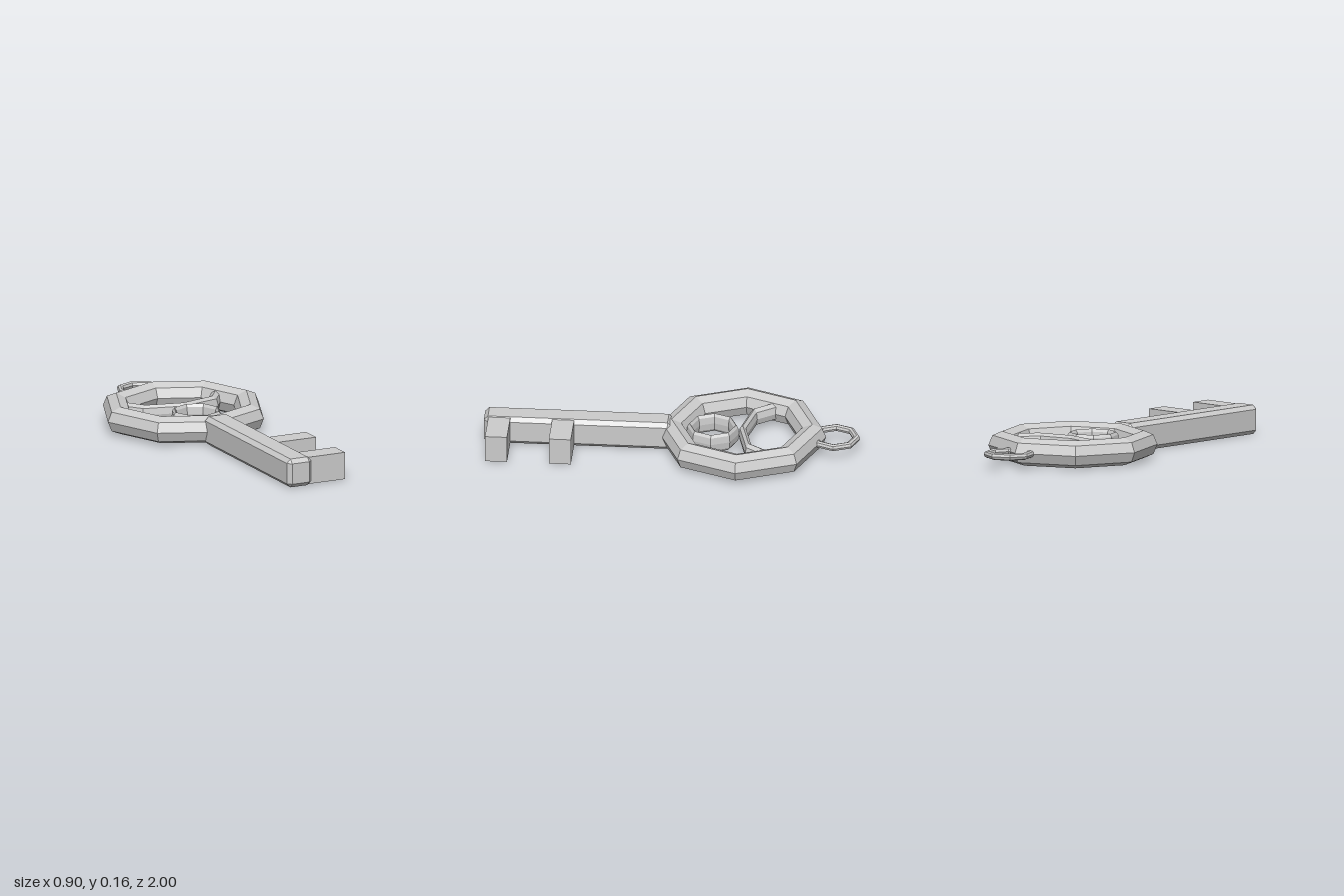
import * as THREE from 'three';
import { ConvexGeometry } from 'three/addons/geometries/ConvexGeometry.js';

const MID_Y = 0.078;

export function createModel() {
  const model = new THREE.Group();
  const metal = new THREE.MeshStandardMaterial({ color: 0xcccccc, flatShading: true });

  const add = (name, geometry, x, y, z) => {
    const mesh = new THREE.Mesh(geometry, metal);
    mesh.name = name;
    mesh.position.set(x, y, z);
    model.add(mesh);
  };

  // Faceted ring lying flat, stretched in height or depth, optionally only an arc
  const ring = (radius, tube, { height = tube, depth = 1, segments = 8, arc = Math.PI * 2 } = {}) =>
    new THREE.TorusGeometry(radius, tube, 8, segments, arc)
      .rotateX(Math.PI / 2)
      .scale(1, height / tube, depth);

  // Box with all edges and corners cut off
  const chamferedBox = (w, h, d, c) => {
    const points = [];
    for (const sx of [-1, 1]) for (const sy of [-1, 1]) for (const sz of [-1, 1]) {
      for (let axis = 0; axis < 3; axis++) {
        const half = [w / 2 - c, h / 2 - c, d / 2 - c];
        half[axis] += c;
        points.push(new THREE.Vector3(sx * half[0], sy * half[1], sz * half[2]));
      }
    }
    return new ConvexGeometry(points);
  };

  // Handle: large ring, small hanging loop, inner ring and curved crossbar
  add('bowRing', ring(0.375, 0.074), 0, MID_Y, -0.37);
  add('hangingLoop', ring(0.115, 0.019), 0, MID_Y, -0.866);
  add('innerRing', ring(0.124, 0.016, { height: 0.052 }), 0, MID_Y, -0.215);
  add('curvedCrossbar',
    ring(0.28, 0.04, { height: 0.05, depth: 0.57, segments: 4, arc: Math.PI }), 0, MID_Y, -0.535);

  // Shaft
  add('shaft', chamferedBox(0.145, 0.156, 1.0, 0.022), 0.002, MID_Y, 0.5);

  // Teeth on the left side of the shaft
  for (const z of [0.577, 0.917]) {
    add('tooth', new THREE.BoxGeometry(0.238, 0.147, 0.117), 0.159, MID_Y, z);
  }

  return model;
}
